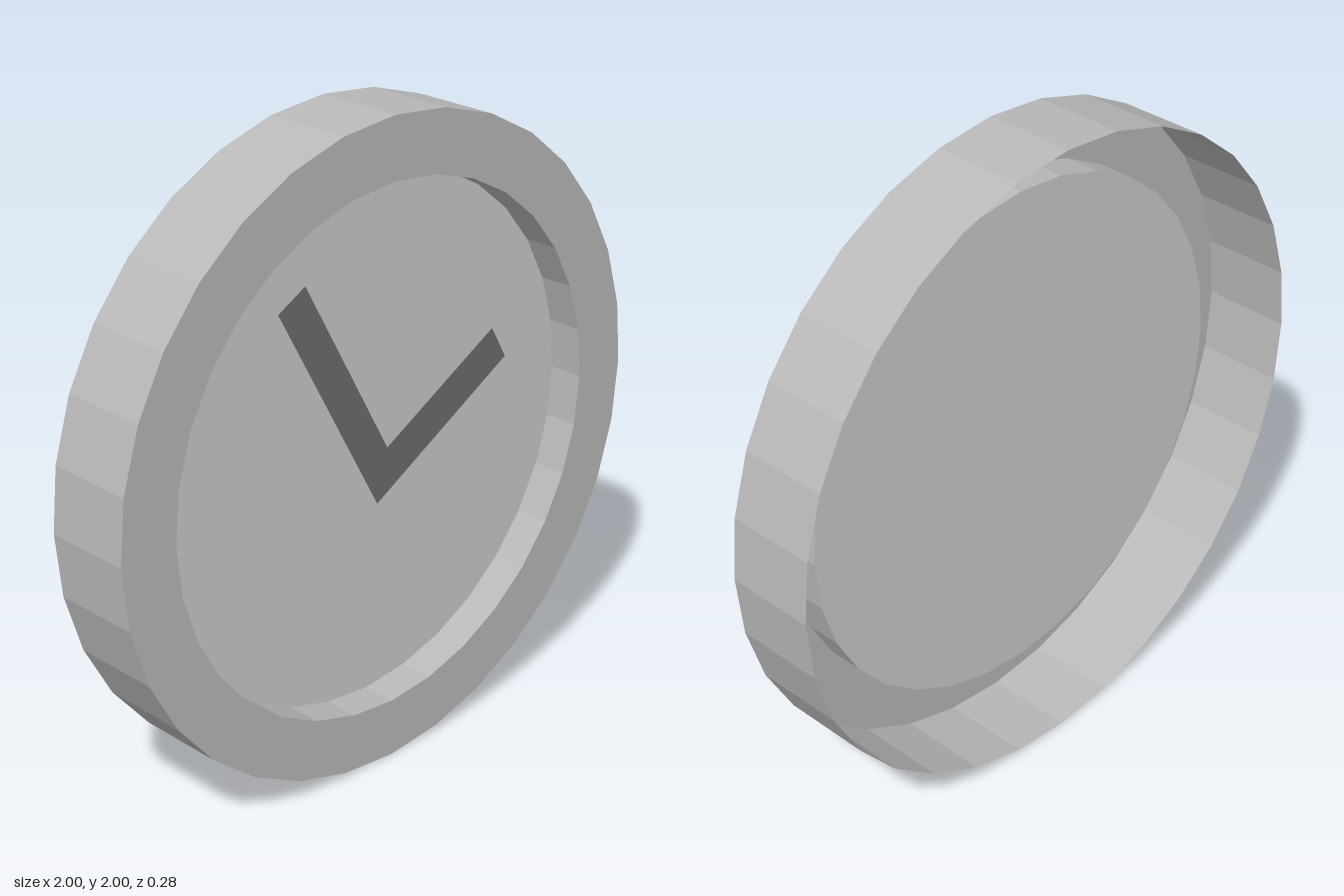
import * as THREE from 'three';

const SIDES = 32;
const OUTER = 1, INNER = 0.813;
const FRONT = 0.14, BACK = -0.14, FACE = 0.03, HANDS = 0.11;

function material(color) {
  return new THREE.MeshStandardMaterial({ color, flatShading: true, side: THREE.DoubleSide });
}

function addPart(group, name, geometry, mat, z = 0) {
  const mesh = new THREE.Mesh(geometry, mat);
  mesh.name = name;
  mesh.position.z = z;
  group.add(mesh);
}

export function createModel() {
  const model = new THREE.Group();
  model.name = 'wallClock';

  // Rim: thin shell, open at the back, with a front ring and a wall down to the dial
  const profile = [[OUTER, BACK], [OUTER, FRONT], [INNER, FRONT], [INNER, FACE]]
    .map(([r, h]) => new THREE.Vector2(r, h));
  const rim = new THREE.LatheGeometry(profile, SIDES).rotateX(Math.PI / 2);
  addPart(model, 'rim', rim, material(0xb9b9b9));

  // Dial: flat disc recessed behind the front ring
  addPart(model, 'dial', new THREE.CircleGeometry(INNER, SIDES), material(0xcccccc), FACE);

  // Hands: one flat bent shape floating above the dial
  const outline = [
    [-0.035, -0.155], [0.5, 0.15], [0.44, 0.255],
    [0.005, 0.01], [-0.31, 0.585], [-0.41, 0.53],
  ].map(([x, y]) => new THREE.Vector2(x, y));
  const hands = new THREE.ShapeGeometry(new THREE.Shape(outline));
  addPart(model, 'hands', hands, material(0x6d6d6d), HANDS);

  model.position.y = OUTER;
  const root = new THREE.Group();
  root.add(model);
  return root;
}
